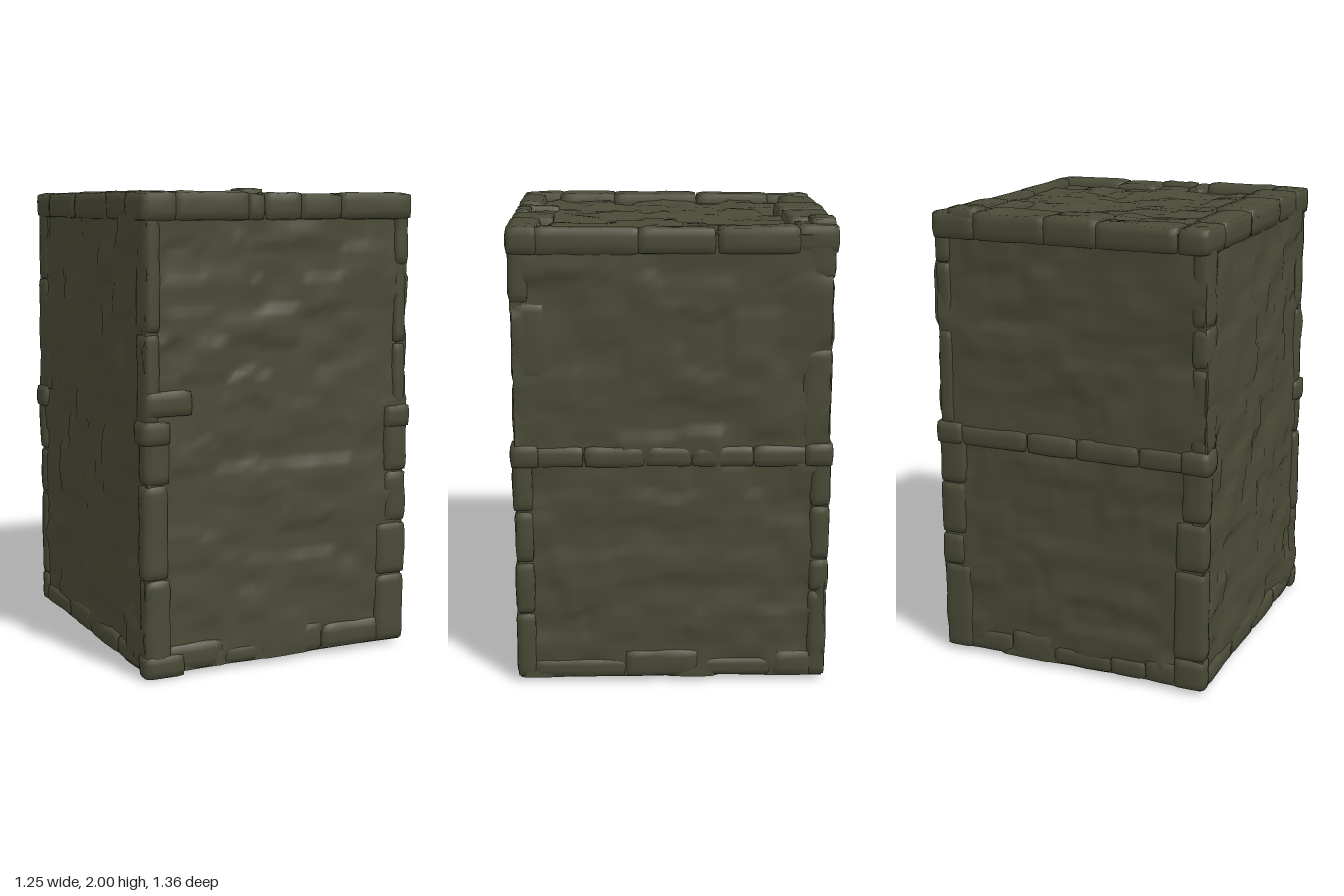
import * as THREE from 'three';
import { mergeVertices } from 'three/addons/utils/BufferGeometryUtils.js';

const stoneMat = new THREE.MeshStandardMaterial({ color: 0x4a4a37 });
stoneMat.name = 'mossy stone';

// Repeatable random numbers and smooth 3D value noise in -1..1
function hash(x, y, z) {
  const s = Math.sin(x * 127.1 + y * 311.7 + z * 74.7) * 43758.5453;
  return (s - Math.floor(s)) * 2 - 1;
}
function noise(x, y, z) {
  const i = Math.floor(x), j = Math.floor(y), k = Math.floor(z);
  const s = (t) => t * t * (3 - 2 * t), mix = THREE.MathUtils.lerp;
  const u = s(x - i), v = s(y - j), w = s(z - k);
  const row = (b, c) => mix(hash(i, b, c), hash(i + 1, b, c), u);
  return mix(mix(row(j, k), row(j + 1, k), v), mix(row(j, k + 1), row(j + 1, k + 1), v), w);
}
let seed = 7;
function rand(a, b) {
  seed = (seed * 16807) % 2147483647;
  return a + (b - a) * (seed / 2147483647);
}

// Relief of uneven masonry: a random height for each brick plus soft lumps
function masonry(u, v, id) {
  const warp = 0.02 * noise(u * 7, v * 7, id);
  const row = Math.floor((v + warp) / 0.13);
  const col = Math.floor((u + warp) / 0.21 + hash(row, id, 3));
  return 0.008 * hash(row, col, id) + 0.011 * noise(u * 9, v * 11, id + 0.5);
}

// Slab of masonry with relief on both faces; its outer face looks along +z
function addWall(group, name, w, h, pos, rot, id) {
  const g = new THREE.BoxGeometry(w, h, 0.05, Math.round(w / 0.025), Math.round(h / 0.025), 1);
  const p = g.attributes.position;
  for (let i = 0; i < p.count; i++) {
    p.setZ(i, p.getZ(i) + masonry(p.getX(i), p.getY(i), id));
  }
  g.computeVertexNormals();
  const mesh = new THREE.Mesh(g, stoneMat);
  mesh.name = name;
  mesh.position.set(...pos);
  mesh.rotation.set(...rot);
  group.add(mesh);
}

// Worn rounded stone filling the given bounds
function addStone(group, name, x0, x1, y0, y1, z0, z1) {
  const size = [x1 - x0, y1 - y0, z1 - z0];
  const seg = size.map((s) => Math.max(3, Math.round(s / 0.035)));
  let g = new THREE.BoxGeometry(...size, ...seg);
  g.deleteAttribute('uv');
  g.deleteAttribute('normal');
  g = mergeVertices(g);
  g.translate((x0 + x1) / 2, (y0 + y1) / 2, (z0 + z1) / 2);
  const r = Math.min(0.018, Math.min(...size) * 0.4);
  const lo = new THREE.Vector3(x0 + r, y0 + r, z0 + r);
  const hi = new THREE.Vector3(x1 - r, y1 - r, z1 - r);
  const p = g.attributes.position, v = new THREE.Vector3(), c = new THREE.Vector3();
  for (let i = 0; i < p.count; i++) {
    v.fromBufferAttribute(p, i);
    c.copy(v).clamp(lo, hi);
    const d = v.clone().sub(c).normalize();
    const bump = 0.005 * noise(v.x * 11, v.y * 11, v.z * 11);
    v.copy(c).addScaledVector(d, r + bump);
    p.setXYZ(i, v.x, v.y, v.z);
  }
  g.computeVertexNormals();
  const mesh = new THREE.Mesh(g, stoneMat);
  mesh.name = name;
  group.add(mesh);
}

// Splits a..b into pieces of random length
function pieces(a, b, min, max) {
  const out = [];
  while (b - a > 0.001) {
    let e = a + rand(min, max);
    if (b - e < min) e = b;
    out.push([a, e]);
    a = e;
  }
  return out;
}

// Same stone on the positive or negative side of an axis
const side = (s, inner, outer) => (s > 0 ? [inner, outer] : [-outer, -inner]);

export function createModel() {
  const model = new THREE.Group();
  model.name = 'stoneBlockhouse';
  const part = (name) => {
    const g = new THREE.Group();
    g.name = name;
    model.add(g);
    return g;
  };

  // Hollow shell, open underneath
  const shell = part('shell');
  const H = Math.PI / 2;
  addWall(shell, 'frontWall', 1.2, 1.92, [0, 0.98, 0.625], [0, 0, 0], 1);
  addWall(shell, 'backWall', 1.2, 1.92, [0, 0.98, -0.625], [0, 2 * H, 0], 2);
  addWall(shell, 'leftWall', 1.3, 1.92, [0.58, 0.98, 0], [0, H, 0], 3);
  addWall(shell, 'rightWall', 1.3, 1.92, [-0.58, 0.98, 0], [0, -H, 0], 4);
  addWall(shell, 'roofPanel', 1.18, 1.28, [0, 1.915, 0], [-H, 0, 0], 5);

  // Corner posts: lower ones wrap the front and back, upper ones the sides
  const posts = part('cornerPosts');
  for (const sx of [-1, 1]) {
    for (const sz of [-1, 1]) {
      for (const [a, b] of pieces(0.02, 1.05, 0.13, 0.42)) {
        const x = side(sx, 0.62 - rand(0.1, 0.16), 0.62 - rand(0, 0.008));
        const z = side(sz, 0.58, 0.67 - rand(0, 0.008));
        addStone(posts, 'lowerPostStone', ...x, a, b, ...z);
      }
      for (const [a, b] of pieces(1.05, 1.96, 0.15, 0.45)) {
        const x = side(sx, 0.54, 0.612 - rand(0, 0.008));
        const z = side(sz, 0.66 - rand(0.08, 0.15), 0.664 - rand(0, 0.008));
        addStone(posts, 'upperPostStone', ...x, a, b, ...z);
      }
      addStone(posts, 'middleCornerStone', ...side(sx, 0.5, 0.625), 0.97, 1.07, ...side(sz, 0.55, 0.675));
    }
  }
  addStone(posts, 'footStone', -0.62, -0.44, 0, 0.1, 0.58, 0.672);
  addStone(posts, 'frontBandStone', -0.61, -0.4, 1.08, 1.19, 0.58, 0.665);

  // Courses at the foot and at mid height
  const courses = part('courses');
  for (const s of [-1, 1]) {
    for (const [a, b] of pieces(-0.52, 0.52, 0.16, 0.34)) {
      addStone(courses, 'footCourseStone', a, b, 0.02, rand(0.09, 0.15), ...side(s, 0.585, 0.657 + rand(0, 0.006)));
    }
    for (const [a, b] of pieces(-0.6, 0.6, 0.16, 0.34)) {
      addStone(courses, 'footCourseStone', ...side(s, 0.54, 0.61 + rand(0, 0.006)), 0.02, rand(0.09, 0.15), a, b);
    }
  }
  for (const [a, b] of pieces(-0.52, 0.52, 0.14, 0.3)) {
    addStone(courses, 'backBandStone', a, b, 0.97, 1.06, -0.667, -0.6);
  }
  for (const [a, b] of pieces(-0.58, 0.58, 0.14, 0.3)) {
    addStone(courses, 'leftBandStone', 0.55, 0.615, 0.97, 1.06, a, b);
  }

  // Raised rim around the roof: [from, to, inner edge] for each stone
  const rim = part('roofRim');
  const top = () => 1.965 + rand(0, 0.015);
  for (const [a, b, e] of [[-0.61, -0.48, -0.45], [-0.48, -0.13, -0.52], [-0.14, 0.1, -0.47], [0.09, 0.42, -0.48], [0.41, 0.61, -0.5]]) {
    addStone(rim, 'backRimStone', a, b, 1.86, top(), -0.675, e);
  }
  for (const [a, b, e] of [[-0.62, -0.47, 0.47], [-0.48, -0.15, 0.56], [-0.16, -0.08, 0.48], [-0.08, 0.09, 0.6], [0.08, 0.28, 0.49], [0.27, 0.62, 0.54]]) {
    addStone(rim, 'frontRimStone', a, b, 1.86, top(), e, 0.67);
  }
  for (const [a, b, e] of [[-0.48, -0.14, -0.47], [-0.14, 0.25, -0.44], [0.24, 0.5, -0.43]]) {
    addStone(rim, 'rightRimStone', -0.615, e, 1.86, top(), a, b);
  }
  for (const [a, b, e] of [[-0.52, -0.18, 0.5], [-0.18, 0.14, 0.53], [0.13, 0.56, 0.55]]) {
    addStone(rim, 'leftRimStone', e, 0.618, 1.86, top(), a, b);
  }
  addStone(rim, 'rimCapStone', 0.4, 0.54, 1.88, 1.998, -0.672, -0.56);
  addStone(rim, 'innerRimStone', 0.4, 0.54, 1.88, 1.955, -0.45, -0.1);

  return model;
}
